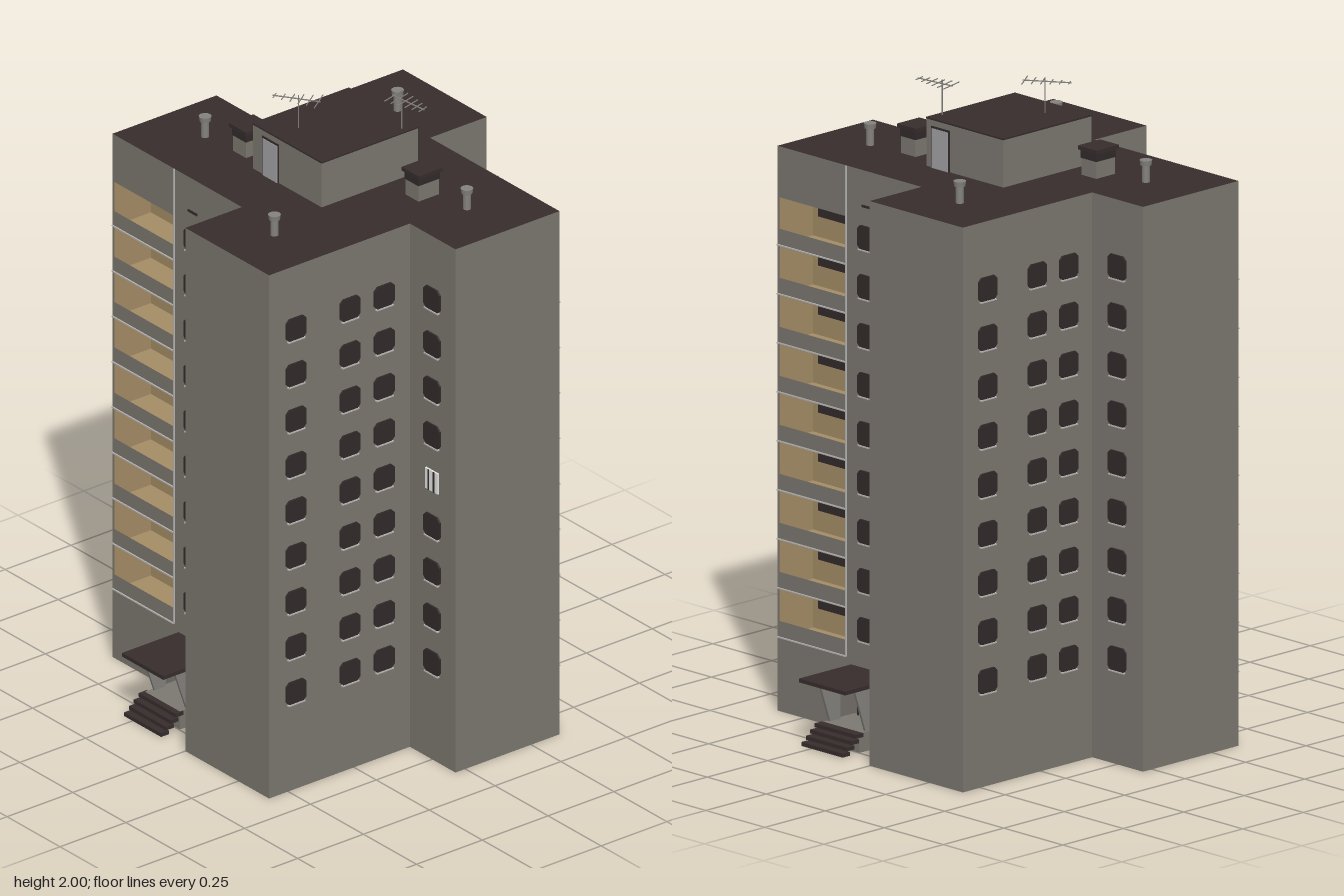
import * as THREE from 'three';

const mat = (name, color, side = THREE.FrontSide) => {
  const m = new THREE.MeshStandardMaterial({ color, side });
  m.name = name;
  return m;
};

export function createModel() {
  const concrete = mat('concrete', 0x7c7871, THREE.DoubleSide);
  const roofing = mat('dark roofing', 0x372d2d, THREE.DoubleSide);
  const glass = mat('dark glass', 0x322a2a);
  const tan = mat('tan plaster', 0xa58d66, THREE.DoubleSide);
  const trim = mat('light trim', 0xb8b7b5);
  const doorGrey = mat('door grey', 0xa3a2a5);
  const metal = mat('metal grey', 0x84827e);
  const white = mat('white frame', 0xf2f2f0);

  const H = 1.74, FLOORS = 9, PITCH = 0.151, F0 = 0.228, DEPTH = 0.14;

  const add = (parent, name, geo, material, x = 0, y = 0, z = 0) => {
    const m = new THREE.Mesh(geo, material);
    m.name = name;
    m.position.set(x, y, z);
    parent.add(m);
    return m;
  };
  const box = (parent, name, material, w, h, d, x, y, z) =>
    add(parent, name, new THREE.BoxGeometry(w, h, d), material, x, y, z);
  const group = (parent, name) => {
    const g = new THREE.Group();
    g.name = name;
    parent.add(g);
    return g;
  };
  const polygon = (pts) => new THREE.Shape(pts.map(([x, y]) => new THREE.Vector2(x, y)));
  const rect = (x0, y0, x1, y1) => [[x0, y0], [x1, y0], [x1, y1], [x0, y1]];

  // Window: bevel-cornered pane with a light sill
  const w = 0.038, h = 0.037, c = 0.012;
  const paneGeo = new THREE.ExtrudeGeometry(polygon([
    [-w + c, -h], [w - c, -h], [w, -h + c], [w, h - c], [w - c, h], [-w + c, h], [-w, h - c], [-w, -h + c],
  ]), { depth: 0.006, bevelEnabled: false });
  const sillGeo = new THREE.BoxGeometry(0.064, 0.004, 0.009);
  const windowColumn = (parent, u, special = null) => {
    for (let k = 0; k < FLOORS; k++) {
      const y = 0.325 + k * PITCH;
      if (special && k === 4) {
        box(parent, 'casementWindow', special, 0.06, 0.068, 0.006, u, y, 0.003);
        for (const s of [-0.012, 0.012]) box(parent, 'mullion', glass, 0.005, 0.068, 0.003, u + s, y, 0.0065);
      } else {
        add(parent, 'window', paneGeo, glass, u, y, 0);
        add(parent, 'windowSill', sillGeo, trim, u, y - 0.038, 0.0045);
      }
    }
  };

  // Wall panel from a to b in plan; its local z points outwards
  const wall = (parent, name, a, b, holes = []) => {
    const g = group(parent, name);
    const dx = b[0] - a[0], dz = b[1] - a[1], len = Math.hypot(dx, dz);
    g.position.set(a[0], 0, a[1]);
    g.rotation.y = Math.atan2(-dz, dx);
    const shape = polygon(rect(0, 0, len, H));
    holes.forEach((r) => shape.holes.push(polygon(rect(...r))));
    add(g, name + 'Panel', new THREE.ShapeGeometry(shape), concrete);
    return g;
  };

  // Stack of recessed balconies in the wall's local frame
  const L0 = 0.008, L1 = 0.29;
  const loggias = (g) => {
    const top = F0 + FLOORS * PITCH, mid = (L0 + L1) / 2, width = L1 - L0;
    box(g, 'loggiaBackWall', tan, width, top - F0, 0.004, mid, (top + F0) / 2, -DEPTH);
    for (const u of [L0, L1])
      box(g, 'loggiaSideWall', tan, 0.003, top - F0, DEPTH, u, (top + F0) / 2, -DEPTH / 2 - 0.001);
    for (let k = 0; k <= FLOORS; k++)
      box(g, 'loggiaSlab', tan, width, 0.004, DEPTH, mid, F0 + k * PITCH, -DEPTH / 2 - 0.002);
    for (let k = 0; k < FLOORS; k++) {
      const f = F0 + k * PITCH;
      box(g, 'loggiaWindow', glass, 0.115, 0.064, 0.006, 0.093, f + 0.099, -DEPTH + 0.005);
      box(g, 'loggiaDoor', glass, 0.062, 0.126, 0.006, 0.218, f + 0.068, -DEPTH + 0.005);
      box(g, 'parapetTrim', trim, L1, 0.004, 0.004, L1 / 2, f, 0.002);
    }
    box(g, 'loggiaEdgeTrim', trim, 0.004, H - F0, 0.004, L1 + 0.002, (H + F0) / 2, 0.002);
  };

  // Entrance in local frame: porch centred on u, wall plane at z = 0
  const entrance = (parent, u) => {
    const g = group(parent, 'entrance');
    g.position.x = u;
    box(g, 'entranceDoor', doorGrey, 0.112, 0.118, 0.008, 0, 0.12, 0.004);
    box(g, 'doorFrameTop', glass, 0.13, 0.006, 0.01, 0, 0.182, 0.005);
    for (const s of [-1, 1]) box(g, 'doorFrameSide', glass, 0.006, 0.12, 0.01, s * 0.06, 0.12, 0.005);
    box(g, 'canopy', roofing, 0.195, 0.012, 0.215, 0, 0.201, 0.1075);
    box(g, 'landing', concrete, 0.165, 0.06, 0.14, 0, 0.03, 0.07);
    for (let i = 0; i < 4; i++)
      box(g, 'step', roofing, 0.175, 0.012, 0.03, 0, 0.054 - i * 0.0155, 0.145 + i * 0.0185);
    // Slanted canopy supports
    const cheek = new THREE.ExtrudeGeometry(polygon([[-0.07, 0.06], [-0.112, 0.06], [-0.158, 0.196], [-0.07, 0.196]]),
      { depth: 0.008, bevelEnabled: false });
    cheek.rotateY(Math.PI / 2).translate(-0.004, 0, 0);
    for (const s of [-1, 1]) add(g, 'canopySupport', cheek, metal, s * 0.075);
  };

  // Half of the plan; the other half is the same turned by 180 degrees
  const plan = [[-0.61, -0.0375], [-0.61, 0.3575], [0, 0.3575], [0, 0.5725], [0.395, 0.5725], [0.395, 0.0375], [0.61, 0.0375]];
  const buildHalf = (parent, name, openMaterial) => {
    const half = group(parent, name);
    wall(half, 'sideGable', plan[0], plan[1]);
    const openings = [];
    for (let k = 0; k < FLOORS; k++) {
      const f = F0 + k * PITCH;
      openings.push([L0, f + 0.05, L1, f + 0.147]);
    }
    const face = wall(half, 'balconyWall', plan[1], plan[2], openings);
    loggias(face);
    for (const u of [0.38, 0.515]) {
      windowColumn(face, u);
      box(face, 'ventSlot', glass, 0.042, 0.007, 0.004, u, 1.63, 0.002);
    }
    entrance(face, 0.409);
    windowColumn(wall(half, 'innerWall', plan[2], plan[3]), 0.108, name === 'backHalf' ? tan : null);
    wall(half, 'endGable', plan[3], plan[4]);
    const side = wall(half, 'windowWall', plan[4], plan[5]);
    for (const u of [0.1, 0.305, 0.435]) windowColumn(side, u);
    windowColumn(wall(half, 'returnWall', plan[5], plan[6]), 0.108, openMaterial);

    // Roof ventilation shaft and pipes
    box(half, 'shaft', concrete, 0.062, 0.075, 0.078, -0.27, H + 0.0375, 0.11);
    box(half, 'shaftGrille', glass, 0.066, 0.025, 0.082, -0.27, H + 0.065, 0.11);
    box(half, 'shaftCap', roofing, 0.08, 0.012, 0.092, -0.27, H + 0.084, 0.11);
    for (const [x, z] of [[-0.425, 0.155], [0.2, 0.395]]) {
      add(half, 'ventPipe', new THREE.CylinderGeometry(0.012, 0.012, 0.06, 16), metal, x, H + 0.03, z);
      add(half, 'ventCap', new THREE.CylinderGeometry(0.019, 0.017, 0.016, 16), metal, x, H + 0.06, z);
    }
    // Roof house door
    const z = name === 'backHalf' ? 0.191 : 0.176;
    box(half, 'roofDoorFrame', glass, 0.076, 0.128, 0.004, -0.09, H + 0.064, z);
    box(half, 'roofDoor', doorGrey, 0.068, 0.122, 0.006, -0.09, H + 0.061, z + 0.001);
    return half;
  };

  const model = new THREE.Group();
  model.name = 'apartmentTower';
  buildHalf(model, 'frontHalf', white);
  buildHalf(model, 'backHalf', null).rotation.y = Math.PI;

  // Flat roof
  const outline = [...plan.slice(0, 6), ...plan.slice(0, 6).map(([x, z]) => [-x, -z])];
  const roofGeo = new THREE.ShapeGeometry(polygon(outline.map(([x, z]) => [x, -z])));
  add(model, 'roof', roofGeo.rotateX(-Math.PI / 2), roofing, 0, H, 0);

  // Roof house
  box(model, 'roofHouse', concrete, 0.325, 0.146, 0.365, -0.0125, H + 0.073, -0.0075);
  box(model, 'roofHouseTop', roofing, 0.327, 0.005, 0.367, -0.0125, H + 0.1485, -0.0075);

  // Aerials: mast, boom and cross rods
  const aerial = (x, z, angle, from, to, lengths, skew) => {
    const g = group(model, 'aerial');
    g.position.set(x, 0, z);
    g.rotation.y = angle;
    add(g, 'mast', new THREE.CylinderGeometry(0.0018, 0.0018, 0.11, 6), metal, 0, 1.945, 0);
    box(g, 'boom', metal, to - from, 0.003, 0.003, (from + to) / 2, 1.988, 0);
    lengths.forEach((len, i) => {
      const t = from + 0.006 + (to - from - 0.012) * i / (lengths.length - 1);
      box(g, 'crossRod', metal, 0.0025, 0.0025, len, t, 1.988, 0).rotation.y = skew;
    });
  };
  aerial(-0.065, 0.09, 0.6, -0.08, 0.068, [0.03, 0.04, 0.05, 0.06, 0.07, 0.09], 0);
  aerial(0.13, -0.145, 0.1, -0.04, 0.095, [0.09, 0.085, 0.075, 0.065, 0.05, 0.04], 0.15);

  return model;
}
